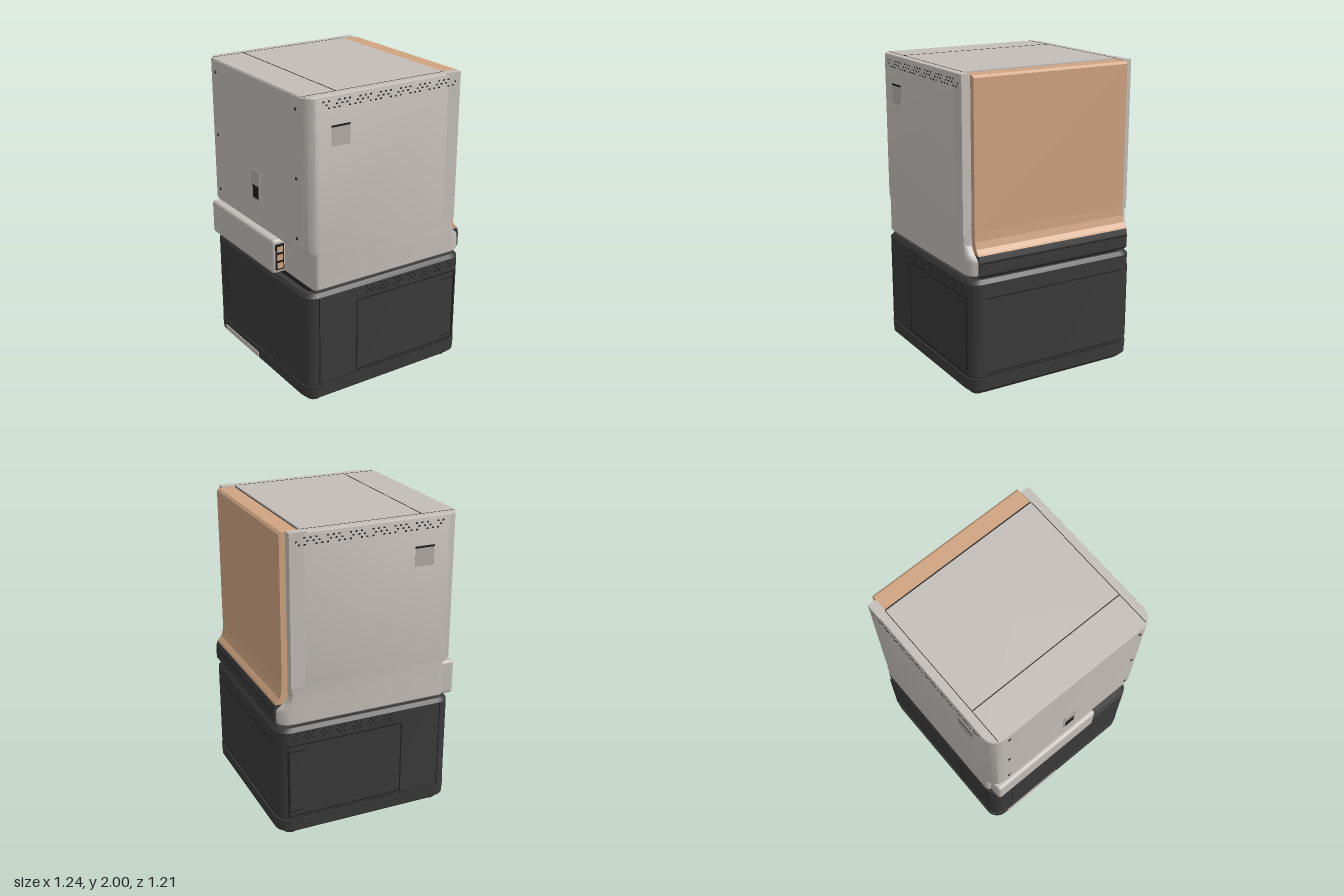
import * as THREE from 'three';
import { mergeGeometries, toCreasedNormals } from 'three/addons/utils/BufferGeometryUtils.js';
import { RoundedBoxGeometry } from 'three/addons/geometries/RoundedBoxGeometry.js';

const mat = (name, color) => {
  const m = new THREE.MeshStandardMaterial({ color });
  m.name = name;
  return m;
};

// Closed solid through rounded rectangles: each section is [y, xMin, xMax, halfDepth, radius at -x, radius at +x]
function loft(sections, steps = 6) {
  const pos = [], idx = [], n = 4 * (steps + 1);
  for (const [y, x0, x1, z, rl, rr] of sections) {
    const corners = [[x1 - rr, z - rr, rr], [x0 + rl, z - rl, rl], [x0 + rl, rl - z, rl], [x1 - rr, rr - z, rr]];
    corners.forEach(([cx, cz, r], c) => {
      for (let i = 0; i <= steps; i++) {
        const a = (c + i / steps) * Math.PI / 2;
        pos.push(cx + r * Math.cos(a), y, cz + r * Math.sin(a));
      }
    });
  }
  const last = (sections.length - 1) * n, mid = sections.length * n;
  for (const s of [sections[0], sections[sections.length - 1]]) pos.push((s[1] + s[2]) / 2, s[0], 0);
  for (let i = 0; i < n; i++) {
    const j = (i + 1) % n;
    for (let k = 0; k < last; k += n) idx.push(k + i, k + n + i, k + j, k + j, k + n + i, k + n + j);
    idx.push(mid, i, j, mid + 1, last + j, last + i);
  }
  const g = new THREE.BufferGeometry();
  g.setAttribute('position', new THREE.Float32BufferAttribute(pos, 3));
  g.setIndex(idx);
  return toCreasedNormals(g, 0.5);
}

// Box given by its limits
const block = (x0, x1, y0, y1, z0, z1) =>
  new THREE.BoxGeometry(x1 - x0, y1 - y0, z1 - z0).translate((x0 + x1) / 2, (y0 + y1) / 2, (z0 + z1) / 2);

// Profile in x and y, extruded across z
function across(points, halfDepth) {
  const s = new THREE.Shape(points.map(p => new THREE.Vector2(...p)));
  return new THREE.ExtrudeGeometry(s, { depth: 2 * halfDepth, bevelEnabled: false }).translate(0, 0, -halfDepth);
}

export function createModel() {
  const grey = mat('warm grey', 0xc3bdb8), shade = mat('shaded grey', 0xb2aca7);
  const dark = mat('charcoal', 0x3a3a3a), seam = mat('seam black', 0x1e1e1e);
  const amber = mat('amber', 0xcfa481);
  const model = new THREE.Group();
  const add = (name, geometry, material) => {
    const m = new THREE.Mesh(geometry, material);
    m.name = name;
    model.add(m);
    return m;
  };

  // Lower cabinet: plinth, main block with a chamfered top, and neck
  add('plinth', loft([
    [0.015, -0.565, 0.58, 0.57, 0.08, 0.08], [0.045, -0.592, 0.61, 0.603, 0.09, 0.09],
    [0.125, -0.595, 0.613, 0.607, 0.09, 0.09]]), dark);
  add('plinthGroove', loft([[0.12, -0.588, 0.603, 0.598, 0.09, 0.09], [0.14, -0.588, 0.603, 0.598, 0.09, 0.09]]), seam);
  add('cabinet', loft([
    [0.135, -0.593, 0.61, 0.604, 0.09, 0.09], [0.74, -0.593, 0.61, 0.604, 0.09, 0.09],
    [0.765, -0.575, 0.59, 0.585, 0.08, 0.08]]), dark);
  add('neck', loft([[0.75, -0.55, 0.57, 0.56, 0.08, 0.08], [0.8, -0.52, 0.57, 0.56, 0.03, 0.08]]), seam);
  for (const x of [-0.5, 0.51]) for (const z of [-0.51, 0.51])
    add('foot', new THREE.CylinderGeometry(0.05, 0.045, 0.03, 20).translate(x, 0.015, z), dark);

  // Upper housing: skirt that flares at the door corners, then the tall shell
  add('skirt', loft([
    [0.785, -0.53, 0.595, 0.59, 0.03, 0.09], [0.8, -0.53, 0.61, 0.605, 0.03, 0.1],
    [0.885, -0.53, 0.61, 0.605, 0.03, 0.1], [0.9, -0.53, 0.59, 0.605, 0.03, 0.08],
    [0.925, -0.53, 0.55, 0.605, 0.03, 0.045], [0.97, -0.53, 0.522, 0.605, 0.03, 0.02],
    [1.04, -0.53, 0.522, 0.605, 0.03, 0.02]]), grey);
  add('shell', loft([
    [1.03, -0.585, 0.43, 0.605, 0.09, 0.001], [1.045, -0.595, 0.43, 0.605, 0.09, 0.001],
    [1.99, -0.595, 0.43, 0.605, 0.09, 0.001], [2, -0.588, 0.43, 0.6, 0.085, 0.001]]), grey);

  // Door, wrapping over the top edge and flaring at its foot
  const door = [[0.442, 0.92], [0.605, 0.92], [0.6, 0.93], [0.575, 0.955], [0.563, 1], [0.56, 1.06],
    [0.56, 1.98], [0.545, 1.994], [0.442, 1.994]];
  add('door', across(door, 0.547), amber);
  add('doorSlot', block(0.425, 0.445, 1.9, 1.99, -0.547, 0.547), seam);
  add('doorSill', across([[0.48, 0.785], [0.6, 0.785], [0.615, 0.8], [0.615, 0.885], [0.606, 0.919], [0.48, 0.919]], 0.547), dark);
  add('sillSeam', block(0.6, 0.617, 0.872, 0.878, -0.54, 0.54), seam);

  // Lid seams
  add('lidSeam', block(-0.358, -0.352, 1.99, 2.001, -0.547, 0.547), seam);

  // Details shared by the front and the back
  const seams = [], dots = [];
  for (const s of [-1, 1]) {
    const plate = (x0, x1, y0, y1, z) => block(x0, x1, y0, y1, s * z - 0.003, s * z + 0.003);
    const frame = (x0, x1, y0, y1, w, z) => [
      plate(x0, x1, y0, y0 + w, z), plate(x0, x1, y1 - w, y1, z),
      plate(x0, x0 + w, y0, y1, z), plate(x1 - w, x1, y0, y1, z)];

    add('doorCheek', block(0.41, 0.522, 1.03, 2, s * 0.576 - 0.029, s * 0.576 + 0.029), grey);
    seams.push(block(-0.58, 0.43, 1.99, 2.001, s * 0.549 - 0.002, s * 0.549 + 0.002));
    seams.push(...frame(-0.235, 0.553, 0.148, 0.652, 0.007, 0.603));
    seams.push(plate(0.45, 0.545, 0.18, 0.185, 0.603), plate(0.45, 0.545, 0.605, 0.61, 0.603), plate(0.54, 0.545, 0.18, 0.61, 0.603));
    seams.push(plate(-0.511, -0.506, 0.14, 0.74, 0.603));
    add('gripPocket', plate(-0.42, -0.29, 1.69, 1.81, 0.603), shade);
    add('gripEdge', plate(-0.42, -0.29, 1.806, 1.818, 0.604), seam);

    // Staggered rows of vent holes, with gaps between the clusters
    const vents = (x0, x1, y0, skip) => {
      for (let row = 0; row < 3; row++)
        for (let i = 0; x0 + i * 0.036 < x1; i++) {
          if ((i * 5 + row * 3) % skip === 0) continue;
          const x = x0 + i * 0.036 + (row % 2) * 0.018, y = y0 + row * 0.02;
          dots.push(plate(x, x + 0.012, y, y + 0.009, 0.604));
        }
    };
    vents(-0.48, 0.49, 1.92, 4);
    vents(-0.2, 0.5, 0.68, 3);
  }
  // Side panel outline under the door
  for (const y of [0.15, 0.645]) seams.push(block(0.6, 0.612, y - 0.003, y + 0.003, -0.51, 0.51));
  add('panelSeams', mergeGeometries(seams), seam);
  add('ventHoles', mergeGeometries(dots), seam);

  // Supply box in the notch at the side, with its connectors
  add('supplyBox', new RoundedBoxGeometry(0.1, 0.23, 0.82, 3, 0.02).translate(-0.568, 0.895, -0.17), grey);
  add('connectorPlate', block(-0.6, -0.54, 0.805, 0.98, 0.238, 0.244), seam);
  for (const y of [0.835, 0.89, 0.945])
    add('connector', block(-0.59, -0.55, y - 0.018, y + 0.018, 0.24, 0.249), amber);

  // Side face: handle slot, screws, and label strip at the foot
  add('handleFrame', block(-0.599, -0.592, 1.2, 1.4, -0.04, 0.06), shade);
  add('handleSlot', block(-0.6, -0.593, 1.215, 1.3, -0.025, 0.045), seam);
  for (const y of [1.12, 1.5, 1.92]) for (const z of [-0.48, 0.5])
    add('screw', new THREE.CylinderGeometry(0.01, 0.01, 0.006, 12).rotateZ(Math.PI / 2).translate(-0.596, y, z), seam);
  add('labelStrip', block(-0.599, -0.592, 0.05, 0.085, -0.49, -0.03), grey);
  for (let i = 0; i < 4; i++)
    add('sideVent', block(-0.597, -0.591, 0.3 + i * 0.1, 0.34 + i * 0.1, -0.45, -0.44), seam);

  return model;
}
